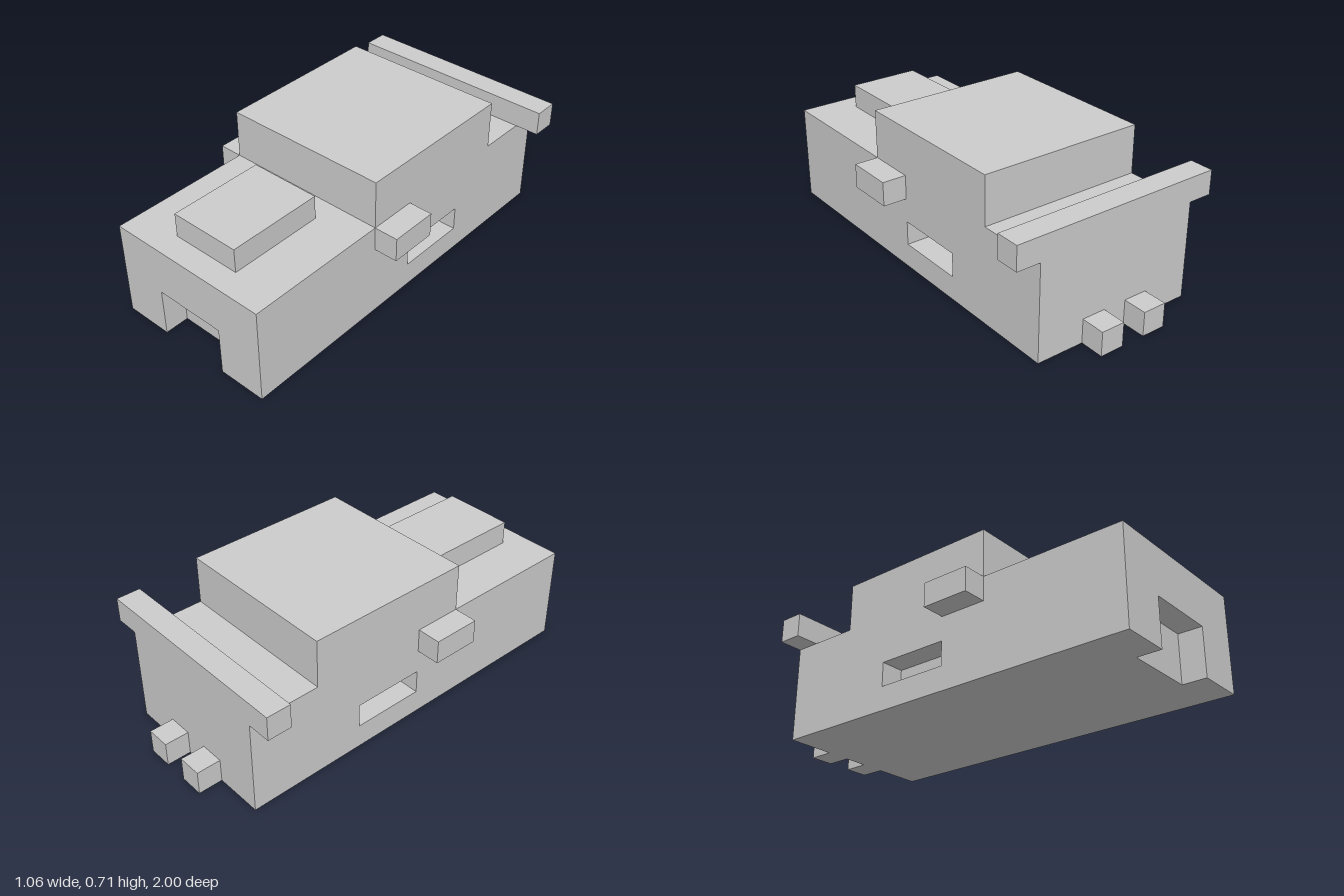
import * as THREE from 'three';

// The whole car sits on a grid of 17 cells along its length.
const U = 2 / 17;
const material = new THREE.MeshStandardMaterial({ color: 0xcccccc, flatShading: true });

function polygon(points, Type = THREE.Shape) {
  return new Type(points.map(([a, b]) => new THREE.Vector2(a * U, b * U)));
}

function addMesh(group, name, geometry) {
  const mesh = new THREE.Mesh(geometry, material);
  mesh.name = name;
  group.add(mesh);
}

// Box given by its limits in grid cells
function addBox(group, name, [x0, x1], [y0, y1], [z0, z1]) {
  const geometry = new THREE.BoxGeometry((x1 - x0) * U, (y1 - y0) * U, (z1 - z0) * U);
  geometry.translate((x0 + x1) * U / 2, (y0 + y1) * U / 2, (z0 + z1) * U / 2);
  addMesh(group, name, geometry);
}

// Side outline of body and cabin, drawn with -z to the right
function sideProfile(front) {
  return polygon([
    [-front, 0], [7.5, 0], [7.5, 4], [4.5, 4],
    [4.5, 6], [-2.5, 6], [-2.5, 4], [-front, 4],
  ]);
}

// Extrude a side outline across the car from x0 to x1
function addAcross(group, name, shape, x0, x1) {
  const geometry = new THREE.ExtrudeGeometry(shape, { depth: (x1 - x0) * U, bevelEnabled: false });
  geometry.rotateY(Math.PI / 2).translate(x0 * U, 0, 0);
  addMesh(group, name, geometry);
}

export function createModel() {
  const car = new THREE.Group();
  car.name = 'car';

  // Body core, one cell short at the front for the grille recess
  addAcross(car, 'bodyCore', sideProfile(7.5), -2.5, 2.5);

  // Nose panel with the grille opening
  const nose = polygon([
    [-2.5, 0], [-1.5, 0], [-1.5, 2], [1.5, 2], [1.5, 0], [2.5, 0], [2.5, 4], [-2.5, 4],
  ]);
  const noseGeometry = new THREE.ExtrudeGeometry(nose, { depth: U, bevelEnabled: false });
  addMesh(car, 'nosePanel', noseGeometry.translate(0, 0, 7.5 * U));

  // Side panels, each with an intake opening one cell deep
  const side = sideProfile(8.5);
  side.holes.push(polygon([[-0.5, 1], [-0.5, 2], [2.5, 2], [2.5, 1]], THREE.Path));
  addAcross(car, 'leftSidePanel', side, 2.5, 3.5);
  addAcross(car, 'rightSidePanel', side, -3.5, -2.5);

  // Bonnet scoop and rear wing
  addBox(car, 'bonnetScoop', [-1.5, 1.5], [4, 5], [3.5, 7.5]);
  addBox(car, 'rearWing', [-4.5, 4.5], [4, 5], [-7.5, -6.5]);

  // Mirrors and exhausts on both sides
  for (const [label, s] of [['left', 1], ['right', -1]]) {
    const span = (a, b) => (s > 0 ? [a, b] : [-b, -a]);
    addBox(car, label + 'Mirror', span(3.5, 4.5), [3, 4], [0.5, 2.5]);
    addBox(car, label + 'Exhaust', span(0.5, 1.5), [0, 1], [-8.5, -7.5]);
  }
  return car;
}
